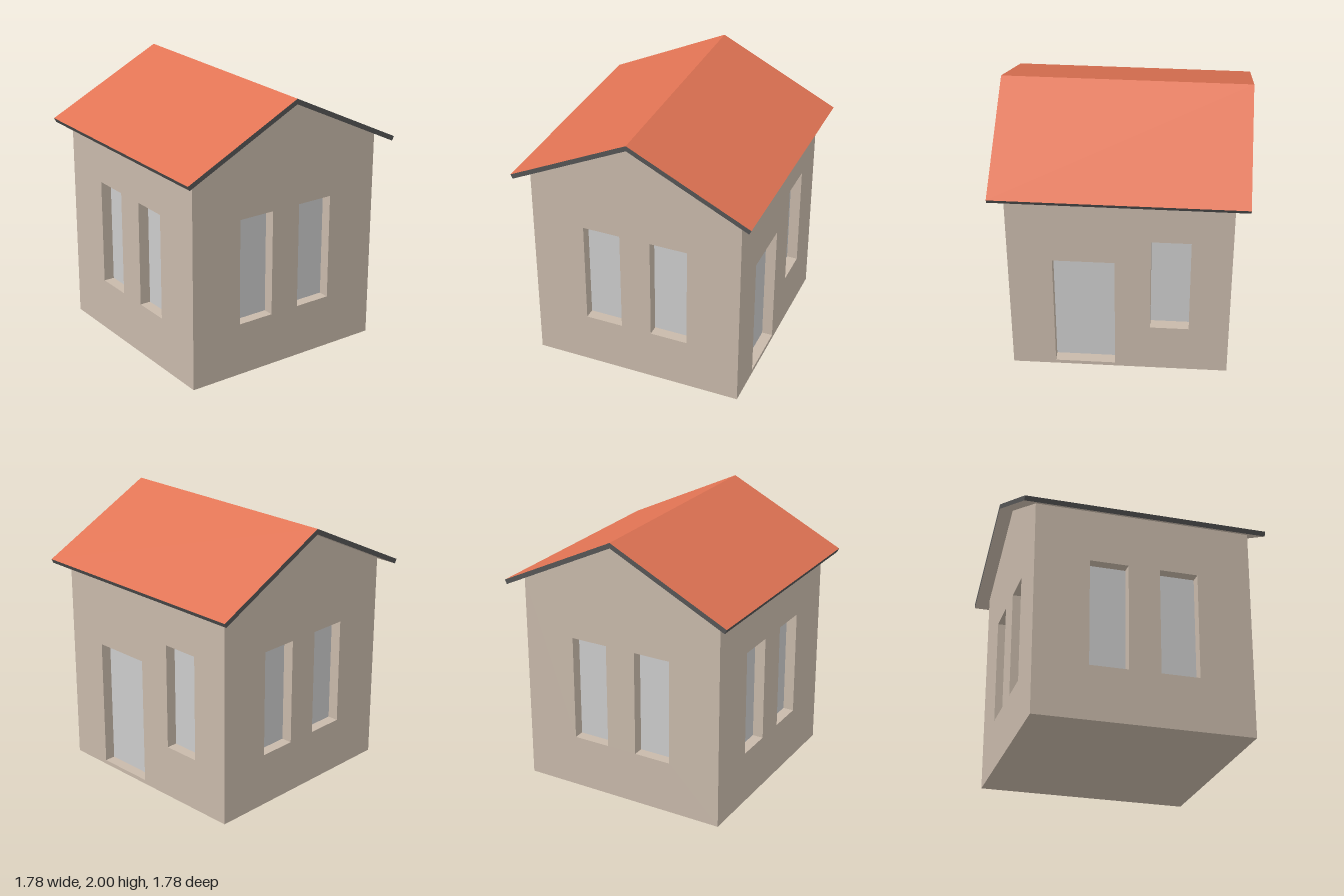
import * as THREE from 'three';

const HALF = 0.79;      // half width of the house
const DEPTH = 0.08;     // wall thickness and window recess
const INNER = HALF - DEPTH;
const EAVE = 1.575;     // wall height under the eaves
const RIDGE = 2;
const ROOF_HALF = 0.89; // half span of the roof, overhang included
const ROOF_EDGE = 1.565;
const ROOF_THICK = 0.035;

const material = (color) => new THREE.MeshStandardMaterial({ color });

// Openings as [left, right, bottom, top], seen from outside the wall
const windowPair = [[-0.395, -0.115, 0.395, 1.185], [0.115, 0.395, 0.395, 1.185]];
const doorAndWindow = [[-0.475, -0.035, 0.03, 0.985], [0.22, 0.5, 0.395, 1.185]];

function path(points, PathType) {
  return new PathType(points.map(([x, y]) => new THREE.Vector2(x, y)));
}

// One wall facing +z with recessed panes, turned around y into place
function makeWall(name, outline, openings, angle, wallMat, paneMat) {
  const group = new THREE.Group();
  group.name = name;
  const shape = path(outline, THREE.Shape);
  for (const [l, r, b, t] of openings) {
    shape.holes.push(path([[l, b], [l, t], [r, t], [r, b]], THREE.Path));
    const pane = new THREE.Mesh(new THREE.PlaneGeometry(r - l, t - b), paneMat);
    pane.name = b < 0.1 ? 'doorPanel' : 'windowPane';
    pane.position.set((l + r) / 2, (b + t) / 2, INNER);
    group.add(pane);
  }
  const geometry = new THREE.ExtrudeGeometry(shape, { depth: DEPTH, bevelEnabled: false });
  geometry.translate(0, 0, INNER);
  const wall = new THREE.Mesh(geometry, wallMat);
  wall.name = name + 'Panel';
  group.add(wall);
  group.rotation.y = angle;
  return group;
}

export function createModel() {
  const house = new THREE.Group();
  house.name = 'house';
  const wallMat = material(0xc8b9aa);
  const paneMat = material(0xcccccc);
  paneMat.side = THREE.DoubleSide;
  const tileMat = material(0xe07353);
  const edgeMat = material(0x555555);

  // Walls: plain front and back between the two gabled sides
  const plain = [[-INNER, 0], [INNER, 0], [INNER, EAVE], [-INNER, EAVE]];
  const gable = [[-HALF, 0], [HALF, 0], [HALF, EAVE], [0, 1.961], [-HALF, EAVE]];
  house.add(
    makeWall('frontWall', plain, windowPair, 0, wallMat, paneMat),
    makeWall('rightWall', gable, windowPair, Math.PI / 2, wallMat, paneMat),
    makeWall('backWall', plain, doorAndWindow, Math.PI, wallMat, paneMat),
    makeWall('leftWall', gable, windowPair, -Math.PI / 2, wallMat, paneMat),
  );

  // Floor closing the underside
  const floor = new THREE.Mesh(new THREE.BoxGeometry(2 * INNER, 0.02, 2 * INNER), wallMat);
  floor.name = 'floor';
  floor.position.y = 0.01;
  house.add(floor);

  // Roof slabs: tiled top, dark rim, plain underside
  const drop = RIDGE - ROOF_EDGE;
  const slope = Math.atan2(drop, ROOF_HALF);
  const length = Math.hypot(drop, ROOF_HALF);
  for (const side of [1, -1]) {
    const geometry = new THREE.BoxGeometry(2 * ROOF_HALF, ROOF_THICK, length);
    geometry.translate(0, -ROOF_THICK / 2, side * length / 2);
    const slab = new THREE.Mesh(geometry, [edgeMat, edgeMat, tileMat, wallMat, edgeMat, edgeMat]);
    slab.name = side > 0 ? 'frontRoof' : 'backRoof';
    slab.position.y = RIDGE;
    slab.rotation.x = side * slope;
    house.add(slab);
  }
  return house;
}
